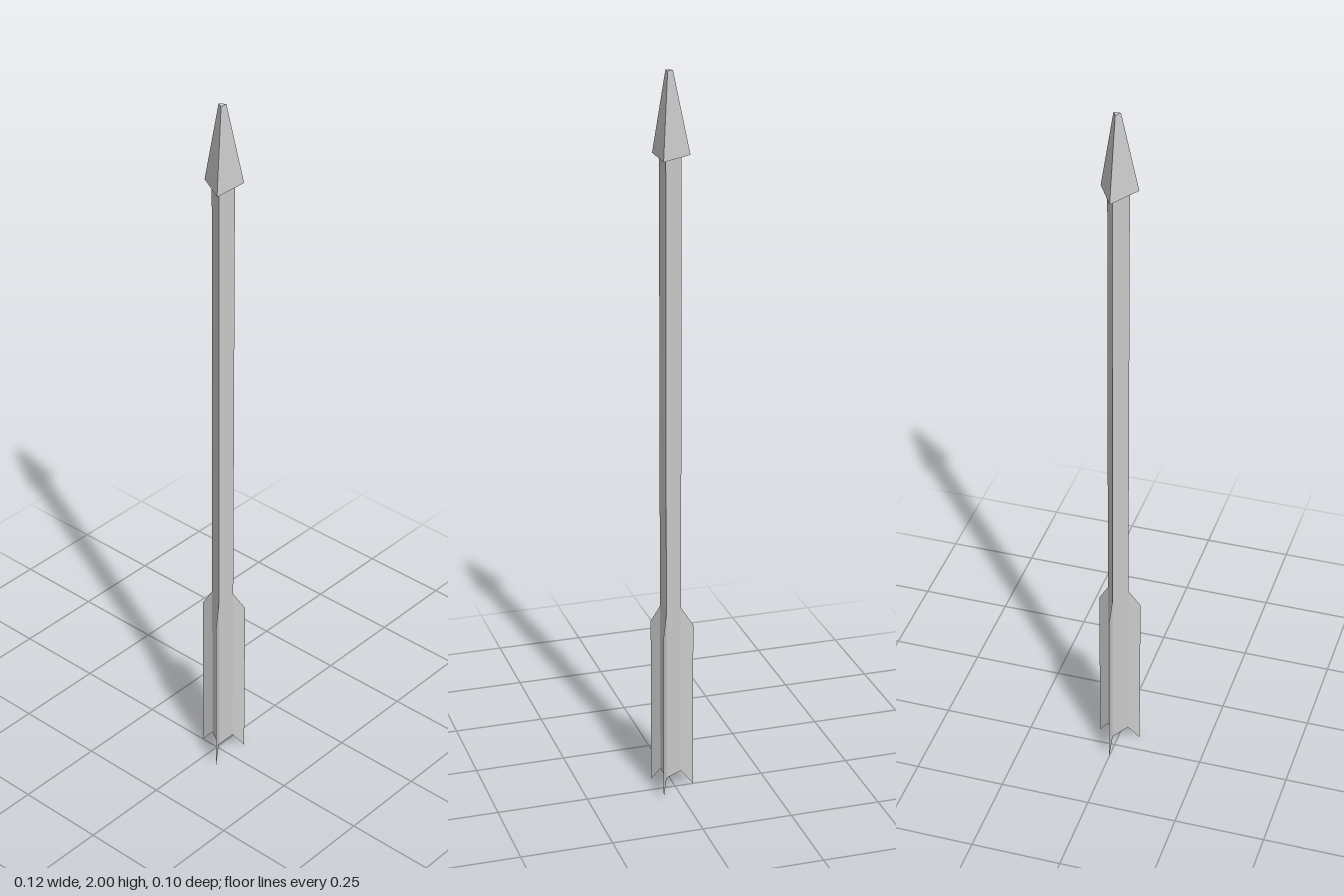
import * as THREE from 'three';

export function createModel() {
  const arrow = new THREE.Group();
  arrow.name = 'arrow';
  const grey = new THREE.MeshStandardMaterial({ color: 0xcccccc, flatShading: true });
  const thin = new THREE.MeshStandardMaterial({ color: 0xcccccc, flatShading: true, side: THREE.DoubleSide });
  const axisZ = 0.0165;
  const shaftRadius = 0.0336;

  // Three-sided prism or frustum with one corner pointing to the back
  function prism(name, topRadius, bottomRadius, y0, y1) {
    const geometry = new THREE.CylinderGeometry(topRadius, bottomRadius, y1 - y0, 3, 1, false, Math.PI);
    const mesh = new THREE.Mesh(geometry, grey);
    mesh.name = name;
    mesh.position.set(0, (y0 + y1) / 2, axisZ);
    arrow.add(mesh);
  }
  prism('shaft', shaftRadius, shaftRadius, 0.045, 1.78);
  prism('head', 0.011, 0.0573, 1.78, 2);

  // Paper-thin fins, one on each corner of the shaft
  const outer = 0.068;
  const outline = new THREE.Shape([
    new THREE.Vector2(shaftRadius, 0.045),
    new THREE.Vector2(outer, 0),
    new THREE.Vector2(outer, 0.48),
    new THREE.Vector2(shaftRadius, 0.535),
  ]);
  const finGeometry = new THREE.ShapeGeometry(outline);
  for (let i = 0; i < 3; i++) {
    const fin = new THREE.Mesh(finGeometry, thin);
    fin.name = ['backFin', 'rightFin', 'leftFin'][i];
    fin.position.z = axisZ;
    fin.rotation.y = Math.PI / 2 + (i * 2 * Math.PI) / 3;
    arrow.add(fin);
  }
  return arrow;
}
